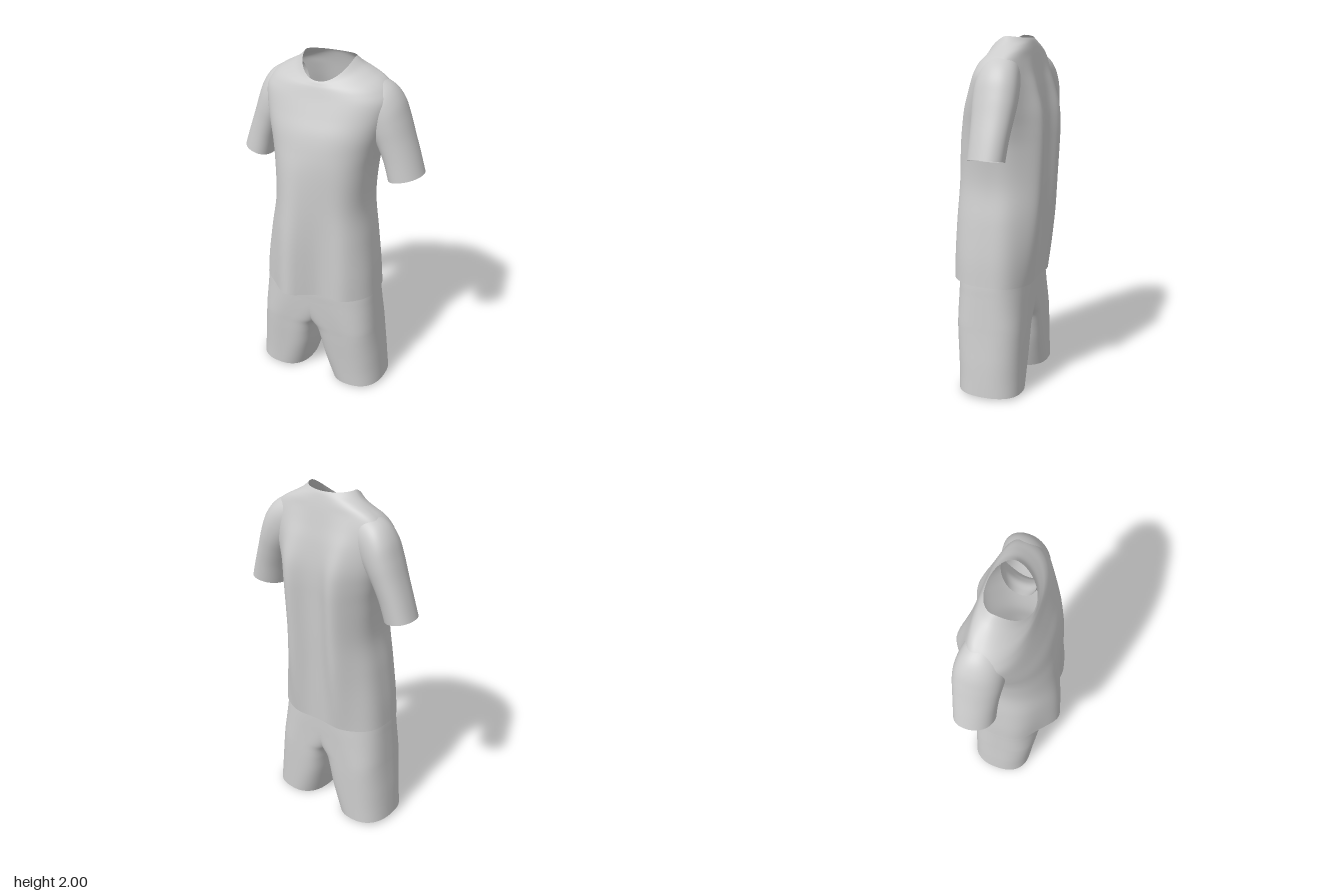
import * as THREE from 'three';
import { mergeGeometries, mergeVertices } from 'three/addons/utils/BufferGeometryUtils.js';

// Smooth interpolation through rows of numbers, t from 0 to 1
function sample(keys, t) {
  const f = t * (keys.length - 1);
  const i = Math.min(Math.floor(f), keys.length - 2);
  const u = f - i;
  const at = (k) => keys[Math.max(0, Math.min(keys.length - 1, k))];
  return keys[0].map((_, c) => {
    const a = at(i - 1)[c], b = at(i)[c], d = at(i + 1)[c], e = at(i + 2)[c];
    return b + 0.5 * u * (d - a + u * (2 * a - 5 * b + 4 * d - e + u * (3 * (b - d) + e - a)));
  });
}

// Closed rings of cloth running along the keys; quads lying on x = 0 are left out
function loft(keys, rows, seg, point, flip = false) {
  const pos = [], index = [];
  for (let r = 0; r <= rows; r++) {
    const k = sample(keys, r / rows);
    for (let s = 0; s < seg; s++) pos.push(...point(k, (s / seg) * Math.PI * 2));
  }
  for (let r = 0; r < rows; r++) {
    for (let s = 0; s < seg; s++) {
      const a = r * seg + s, b = r * seg + ((s + 1) % seg), c = a + seg, d = b + seg;
      if ([a, b, c, d].every((v) => Math.abs(pos[v * 3]) < 1e-6)) continue;
      if (flip) index.push(a, b, c, b, d, c);
      else index.push(a, c, b, b, c, d);
    }
  }
  const g = new THREE.BufferGeometry();
  g.setAttribute('position', new THREE.Float32BufferAttribute(pos, 3));
  g.setIndex(index);
  return g;
}

const power = (v, n) => Math.sign(v) * Math.pow(Math.abs(v), 2 / n);
const bump = (x, centre, width) => Math.exp(-(((x - centre) / width) ** 2));

// Shirt body: ySide, yFront, yBack, halfWidth, zFront, zBack, zSide, squareness, frontFold, backFold
const BODY = [
  [0.65, 0.655, 0.635, 0.347, 0.203, -0.222, -0.02, 2.9, 0.088, 0.014],
  [0.80, 0.80, 0.80, 0.333, 0.205, -0.226, -0.02, 2.9, 0.079, 0.034],
  [1.00, 1.00, 1.00, 0.305, 0.208, -0.231, -0.03, 2.8, 0.065, 0.055],
  [1.20, 1.20, 1.20, 0.274, 0.211, -0.238, -0.045, 2.7, 0.042, 0.066],
  [1.40, 1.40, 1.40, 0.285, 0.21, -0.243, -0.06, 2.6, 0.018, 0.07],
  [1.52, 1.52, 1.52, 0.308, 0.20, -0.246, -0.075, 2.5, 0.004, 0.066],
  [1.62, 1.62, 1.62, 0.335, 0.179, -0.243, -0.085, 2.5, 0, 0.054],
  [1.72, 1.71, 1.73, 0.36, 0.144, -0.231, -0.09, 2.5, 0, 0.03],
  [1.80, 1.79, 1.82, 0.37, 0.113, -0.214, -0.095, 2.5, 0, 0.01],
  [1.856, 1.835, 1.89, 0.345, 0.097, -0.20, -0.10, 2.4, 0, 0],
  [1.896, 1.857, 1.93, 0.305, 0.089, -0.19, -0.10, 2.3, 0, 0],
  [1.93, 1.87, 1.957, 0.245, 0.083, -0.182, -0.095, 2.2, 0, 0],
  [1.963, 1.88, 1.976, 0.187, 0.078, -0.175, -0.085, 2.1, 0, 0],
  [2.0, 1.887, 1.988, 0.147, 0.073, -0.168, -0.075, 2.1, 0, 0],
];

function bodyPoint([yS, yF, yB, w, zF, zB, zS, n, fFold, bFold], a) {
  const c = Math.cos(a), s = Math.sin(a);
  const x = w * power(c, n), q = power(s, n);
  const y = yS + ((s > 0 ? yF : yB) - yS) * Math.abs(s) ** 1.35;
  let z = zS + Math.abs(q) * ((s > 0 ? zF : zB) - zS);
  if (s > 0) z += fFold * (bump(x, -0.1, 0.115) + 0.35 * bump(x, 0.22, 0.09)) * q;
  else z += bFold * (bump(x, -0.16, 0.085) + bump(x, 0.16, 0.085)) * q;
  return [x, y, z];
}

// Sleeve bending into the shoulder: inner x, inner y, outer x, outer y, zFront, zBack
const SLEEVE = [
  [0.37, 1.36, 0.55, 1.40, 0.02, -0.188],
  [0.34, 1.46, 0.517, 1.50, 0.02, -0.195],
  [0.305, 1.54, 0.478, 1.61, 0.025, -0.205],
  [0.275, 1.59, 0.444, 1.71, 0.032, -0.213],
  [0.245, 1.62, 0.408, 1.80, 0.036, -0.213],
  [0.215, 1.64, 0.355, 1.866, 0.038, -0.205],
  [0.175, 1.65, 0.28, 1.905, 0.035, -0.19],
  [0.14, 1.66, 0.21, 1.92, 0.02, -0.17],
];

const sleevePoint = (side) => ([ix, iy, ox, oy, zF, zB], a) => {
  const c = power(Math.cos(a), 2.15), s = power(Math.sin(a), 2.15);
  return [
    side * ((ix + ox) / 2 + ((ox - ix) / 2) * c),
    (iy + oy) / 2 + ((oy - iy) / 2) * c,
    (zF + zB) / 2 + ((zF - zB) / 2) * s - 0.02 * c,
  ];
};

// Shorts leg: y, inner x (below zero where both halves join), outer x, zFront, zBack, squareness
const LEG = [
  [0.01, 0.088, 0.408, 0.155, -0.215, 2.4],
  [0.10, 0.062, 0.40, 0.16, -0.215, 2.4],
  [0.20, 0.038, 0.39, 0.167, -0.215, 2.5],
  [0.30, 0.022, 0.378, 0.175, -0.215, 2.6],
  [0.37, 0.004, 0.37, 0.18, -0.214, 2.7],
  [0.42, -0.04, 0.365, 0.184, -0.213, 2.8],
  [0.50, -0.12, 0.357, 0.189, -0.212, 2.8],
  [0.58, -0.21, 0.349, 0.193, -0.212, 2.8],
  [0.66, -0.29, 0.341, 0.196, -0.211, 2.8],
  [0.80, -0.32, 0.32, 0.19, -0.207, 2.8],
  [0.95, -0.29, 0.29, 0.18, -0.20, 2.7],
];

const legPoint = (side) => ([y, xi, xo, zF, zB, n], a) => {
  // The inner side grows squarer towards the crotch
  const m = Math.cos(a) < 0 ? n + Math.min(1.4, y * 4) : n;
  const c = power(Math.cos(a), m), s = power(Math.sin(a), m);
  const x = Math.max(0, (xi + xo) / 2 + ((xo - xi) / 2) * c);
  return [side * x, y + 0.008 * c * Math.max(0, 1 - y * 4), (zF + zB) / 2 + ((zF - zB) / 2) * s];
};

export function createModel() {
  const model = new THREE.Group();
  const cloth = new THREE.MeshStandardMaterial({ color: 0xcccccc, side: THREE.DoubleSide });
  cloth.name = 'light grey cloth';

  const add = (parent, name, geometry) => {
    geometry.computeVertexNormals();
    const mesh = new THREE.Mesh(geometry, cloth);
    mesh.name = name;
    parent.add(mesh);
  };

  // Shirt with open hem, neck and cuffs
  const shirt = new THREE.Group();
  shirt.name = 'shirt';
  add(shirt, 'shirtBody', loft(BODY, 78, 120, bodyPoint));
  for (const side of [1, -1]) {
    add(shirt, side > 0 ? 'leftSleeve' : 'rightSleeve', loft(SLEEVE, 42, 56, sleevePoint(side), side < 0));
  }
  model.add(shirt);

  // Shorts: two mirrored halves welded along the middle
  const halves = [1, -1].map((side) => loft(LEG, 80, 96, legPoint(side), side < 0));
  add(model, 'shorts', mergeVertices(mergeGeometries(halves), 1e-5));
  return model;
}
